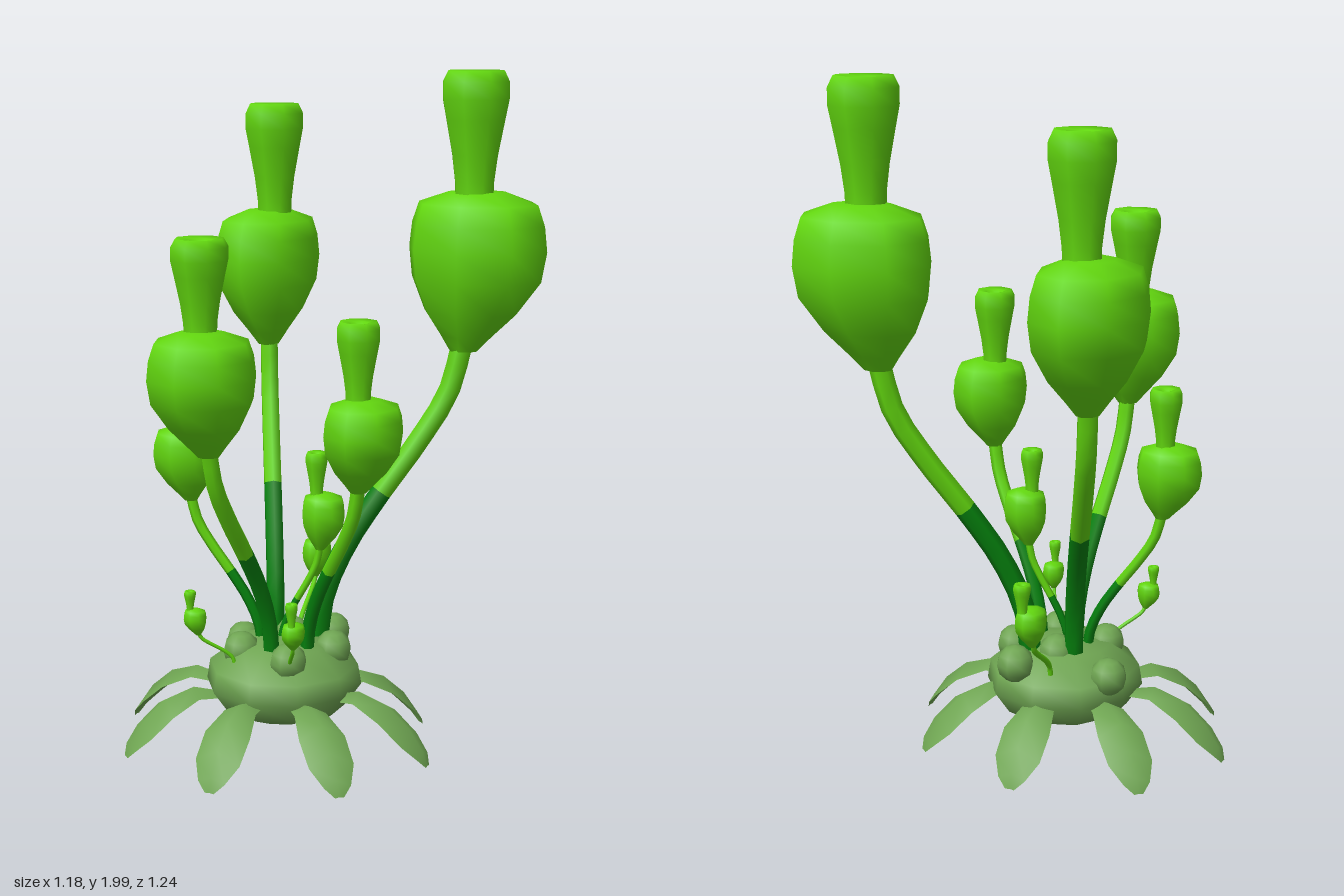
import * as THREE from 'three';
import { mergeVertices } from 'three/addons/utils/BufferGeometryUtils.js';

const material = (name, color) => {
  const m = new THREE.MeshStandardMaterial({ color });
  m.name = name;
  return m;
};

// Lathe whose rings are scaled to an ellipse and moved onto a centre line
function bentLathe(profile, sides, sx, sz, centre) {
  const raw = new THREE.LatheGeometry(profile.map(([r, y]) => new THREE.Vector2(r, y)), sides);
  raw.deleteAttribute('uv');
  raw.deleteAttribute('normal');
  const p = raw.attributes.position;
  for (let i = 0; i < p.count; i++) {
    const [cx, cy, cz] = centre(p.getY(i));
    p.setXYZ(i, p.getX(i) * sx + cx, cy, p.getZ(i) * sz + cz);
  }
  const geo = mergeVertices(raw, 1e-5);
  geo.computeVertexNormals();
  return geo;
}

// Bulb and neck profiles as [relative radius, relative height]
const BULB = [[0.2, 0], [0.38, 0.1], [0.67, 0.25], [0.94, 0.46], [1, 0.65], [0.96, 0.81], [0.86, 0.94], [0.42, 1.01], [0, 1.02]];
const NECK = [[0.58, -0.05], [0.59, 0.1], [0.69, 0.32], [0.88, 0.6], [1, 0.77], [1, 0.91], [0.84, 1], [0.45, 0.98], [0.34, 0.92], [0, 0.91]];

// One pod: root [x, z], bulb [x, z, radius x, radius z, bottom, top], neck [x, z, top]
function makePod(root, bulb, neck, mats) {
  const pod = new THREE.Group();
  pod.name = 'pod';
  const [bx, bz, rx, rz, bottom, top] = bulb;
  const [nx, nz, neckTop] = neck;
  const footX = THREE.MathUtils.lerp(bx, root[0], 0.08);
  const footZ = THREE.MathUtils.lerp(bz, root[1], 0.08);

  // Stem rises, sweeps outward and straightens again under the bulb
  const r = (rx + rz) * 0.083, rootY = 0.28, pts = [];
  for (let i = 0; i <= 6; i++) {
    const t = i / 6, k = THREE.MathUtils.smoothstep(t ** 1.15, 0, 1);
    pts.push(new THREE.Vector3(
      THREE.MathUtils.lerp(root[0], footX, k),
      THREE.MathUtils.lerp(rootY, bottom + r, t),
      THREE.MathUtils.lerp(root[1], footZ, k),
    ));
  }
  const segments = 14, sides = 6;
  const tube = new THREE.TubeGeometry(new THREE.CatmullRomCurve3(pts), segments, r, sides);
  // Lower half is dark on all but the tiny pods
  const split = (rx > 0.05 ? 7 : 0) * sides * 6;
  tube.addGroup(0, split, 0);
  tube.addGroup(split, segments * sides * 6 - split, 1);
  const stem = new THREE.Mesh(tube, [mats.dark, mats.bright]);
  stem.name = 'stem';

  // Swollen bulb, easing from the stem's end to its own centre
  const bulbMesh = new THREE.Mesh(bentLathe(BULB, 8, rx, rz, (t) => {
    const k = Math.min(1, t / 0.5);
    return [
      THREE.MathUtils.lerp(footX, bx, k),
      THREE.MathUtils.lerp(bottom, top, t),
      THREE.MathUtils.lerp(footZ, bz, k),
    ];
  }), mats.bright);
  bulbMesh.name = 'bulb';

  // Flared round neck with a small hollow mouth
  const neckR = (rx + rz) * 0.262;
  const neckMesh = new THREE.Mesh(bentLathe(NECK, 8, neckR, neckR,
    (t) => [nx, THREE.MathUtils.lerp(top, neckTop, t), nz]), mats.bright);
  neckMesh.name = 'neck';

  pod.add(stem, bulbMesh, neckMesh);
  return pod;
}

// Arched leaf along +x: each section has a raised midrib and two drooping edges
function leafGeometry() {
  const sections = [ // [distance, height, half width, edge droop]
    [0.17, 0.18, 0.03, 0.01], [0.27, 0.205, 0.05, 0.025], [0.36, 0.175, 0.072, 0.035],
    [0.43, 0.115, 0.07, 0.035], [0.475, 0.05, 0.042, 0.015], [0.49, 0.01, 0.014, 0.002],
  ];
  const pos = [], idx = [];
  sections.forEach(([d, y, w, drop], i) => {
    pos.push(d, y - drop, -w, d, y, 0, d, y - drop, w);
    if (i === 0) return;
    for (let j = 0; j < 2; j++) {
      const a = (i - 1) * 3 + j, b = a + 3;
      idx.push(a, a + 1, b, a + 1, b + 1, b);
    }
  });
  const geo = new THREE.BufferGeometry();
  geo.setAttribute('position', new THREE.Float32BufferAttribute(pos, 3));
  geo.setIndex(idx);
  geo.computeVertexNormals();
  return geo;
}

export function createModel() {
  const plant = new THREE.Group();
  plant.name = 'podPlant';
  const mats = {
    bright: material('bright green', 0x62d60f),
    dark: material('dark green', 0x04800d),
    leaf: material('sage green', 0x6fa552),
  };
  mats.leaf.side = THREE.DoubleSide;

  // Rounded base
  const baseProfile = [[0, 0.078], [0.1, 0.085], [0.19, 0.125], [0.235, 0.19], [0.225, 0.25], [0.14, 0.315], [0, 0.335]];
  const base = new THREE.Mesh(bentLathe(baseProfile, 10, 1, 1, (y) => [-0.09, y, 0.03]), mats.leaf);
  base.name = 'base';
  plant.add(base);

  // Ring of eight drooping leaves, slightly oval
  const leaves = new THREE.Group();
  leaves.name = 'leaves';
  leaves.position.set(-0.1, 0, 0.06);
  leaves.scale.z = 0.89;
  const leafGeo = leafGeometry();
  for (let i = 0; i < 8; i++) {
    const leaf = new THREE.Mesh(leafGeo, mats.leaf);
    leaf.name = 'leaf';
    leaf.rotation.y = (i * Math.PI) / 4;
    leaves.add(leaf);
  }
  plant.add(leaves);

  // Round bumps on the base
  const bumpGeo = new THREE.SphereGeometry(0.056, 8, 6);
  for (const [x, y, z] of [[-0.1, 0.31, -0.05], [-0.27, 0.265, -0.06], [-0.19, 0.3, 0.115], [-0.015, 0.3, 0.155], [-0.015, 0.3, -0.16], [0.055, 0.3, -0.01]]) {
    const bump = new THREE.Mesh(bumpGeo, mats.leaf);
    bump.name = 'bump';
    bump.position.set(x, y, z);
    plant.add(bump);
  }

  // Six stalked pods, tallest first, then three tiny ones
  const addPod = (root, bulb, neck) => plant.add(makePod(root, bulb, neck, mats));
  addPod([-0.02, -0.06], [0.375, -0.325, 0.215, 0.175, 1.18, 1.645], [0.37, -0.305, 2]);
  addPod([-0.15, -0.04], [-0.358, -0.42, 0.16, 0.2, 1.14, 1.555], [-0.333, -0.418, 1.89]);
  addPod([-0.085, 0.12], [-0.122, 0.465, 0.155, 0.155, 0.97, 1.315], [-0.135, 0.445, 1.57]);
  addPod([0, 0.06], [0.245, 0.21, 0.115, 0.128, 0.85, 1.115], [0.227, 0.207, 1.335]);
  addPod([-0.16, 0.035], [-0.4, 0.07, 0.1, 0.088, 0.73, 0.95], [-0.39, 0.06, 1.12]);
  addPod([-0.1, 0.035], [0.032, 0.01, 0.068, 0.062, 0.61, 0.78], [0.012, 0.015, 0.905]);
  addPod([-0.18, 0.18], [-0.272, 0.25, 0.036, 0.032, 0.375, 0.455], [-0.285, 0.255, 0.51]);
  addPod([0, 0.18], [0.06, 0.277, 0.034, 0.038, 0.385, 0.465], [0.063, 0.295, 0.53]);
  addPod([-0.125, -0.15], [-0.137, -0.31, 0.045, 0.055, 0.42, 0.54], [-0.125, -0.342, 0.62]);
  return plant;
}
